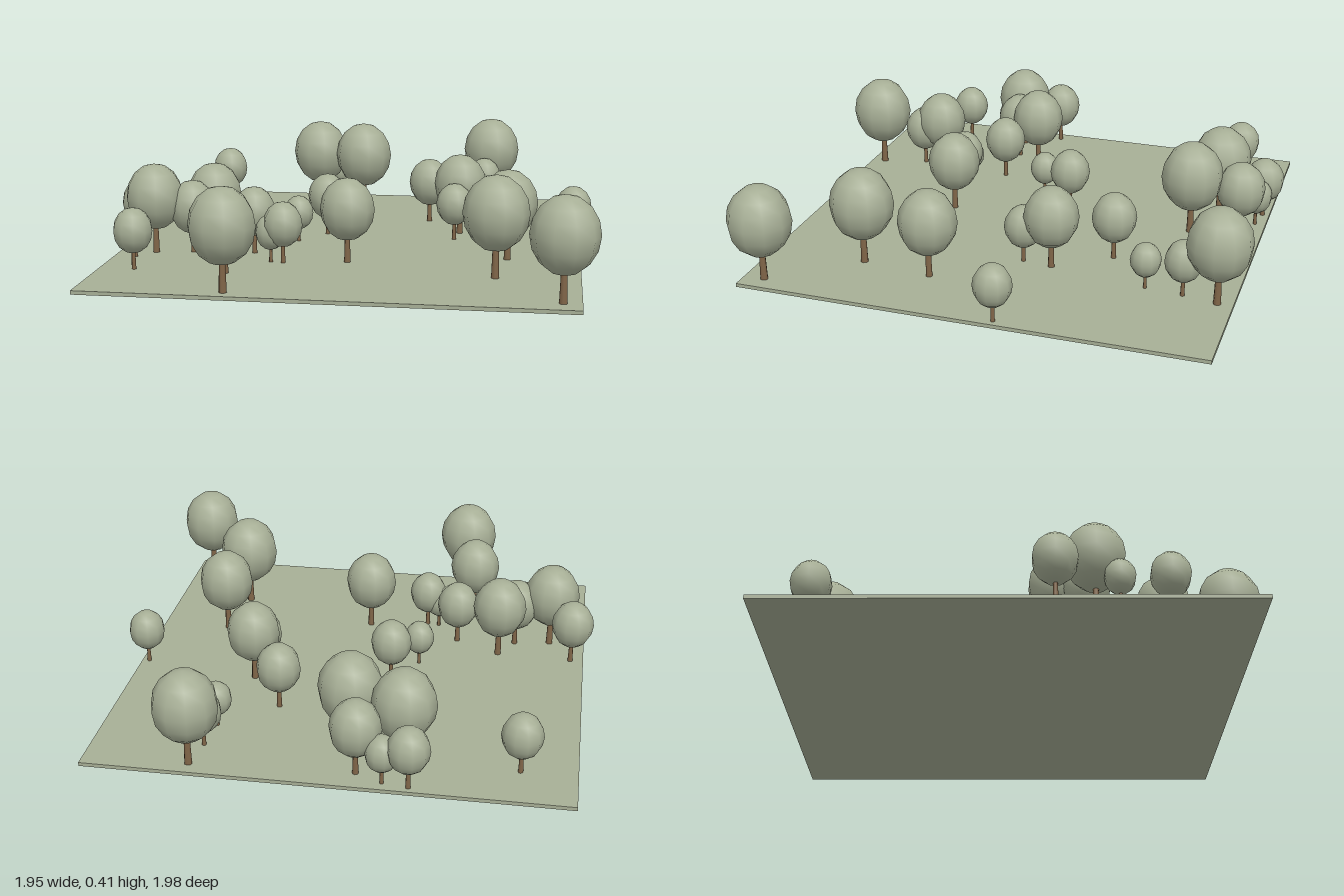
import * as THREE from 'three';

const GROUND_TOP = 0.015;

// Each tree: x, z, crown radius
const TREES = [
  [-0.73, -0.735, 0.08], [-0.33, -0.905, 0.082], [-0.23, -0.89, 0.065], [-0.125, -0.84, 0.1],
  [-0.29, -0.725, 0.125], [-0.075, -0.645, 0.127], [0.505, -0.873, 0.127], [0.48, -0.735, 0.074],
  [0.465, -0.585, 0.061], [0.255, -0.405, 0.09], [0.405, -0.19, 0.11], [0.39, -0.07, 0.077],
  [0.885, -0.115, 0.075], [-0.155, -0.1, 0.084], [-0.255, 0.045, 0.062], [-0.89, 0.165, 0.088],
  [-0.58, 0.18, 0.112], [-0.645, 0.29, 0.095], [-0.795, 0.315, 0.117], [-0.855, 0.4, 0.06],
  [-0.395, 0.275, 0.088], [-0.3, 0.41, 0.062], [-0.25, 0.415, 0.079], [0, 0.37, 0.109],
  [0.625, 0.24, 0.117], [0.59, 0.53, 0.128], [0.845, 0.84, 0.127], [-0.805, 0.59, 0.078],
  [-0.44, 0.6, 0.108], [-0.43, 0.68, 0.085], [-0.385, 0.868, 0.127],
];

export function createModel() {
  const grass = new THREE.MeshStandardMaterial({ name: 'grass green', color: 0xa7af96 });
  const leaf = new THREE.MeshStandardMaterial({ name: 'leaf green', color: 0xa7af96 });
  const bark = new THREE.MeshStandardMaterial({ name: 'bark brown', color: 0x806548 });

  const model = new THREE.Group();
  model.name = 'grove';

  // Thin square of ground
  const ground = new THREE.Mesh(new THREE.BoxGeometry(1.86, GROUND_TOP, 1.86), grass);
  ground.name = 'ground';
  ground.position.set(-0.015, GROUND_TOP / 2, -0.005);
  model.add(ground);

  // One tree shape, proportioned for a crown radius of 1
  const crownGeometry = new THREE.SphereGeometry(1, 10, 8).scale(1, 1.15, 1);
  const trunkGeometry = new THREE.CylinderGeometry(0.085, 0.12, 1.2, 8);

  TREES.forEach(([x, z, radius], i) => {
    const tree = new THREE.Group();
    tree.name = `tree${i + 1}`;
    const trunk = new THREE.Mesh(trunkGeometry, bark);
    trunk.name = 'trunk';
    trunk.position.y = 0.6;
    const crown = new THREE.Mesh(crownGeometry, leaf);
    crown.name = 'crown';
    crown.position.y = 1.97;
    tree.add(trunk, crown);
    tree.position.set(x, GROUND_TOP, z);
    tree.scale.setScalar(radius);
    model.add(tree);
  });

  return model;
}
